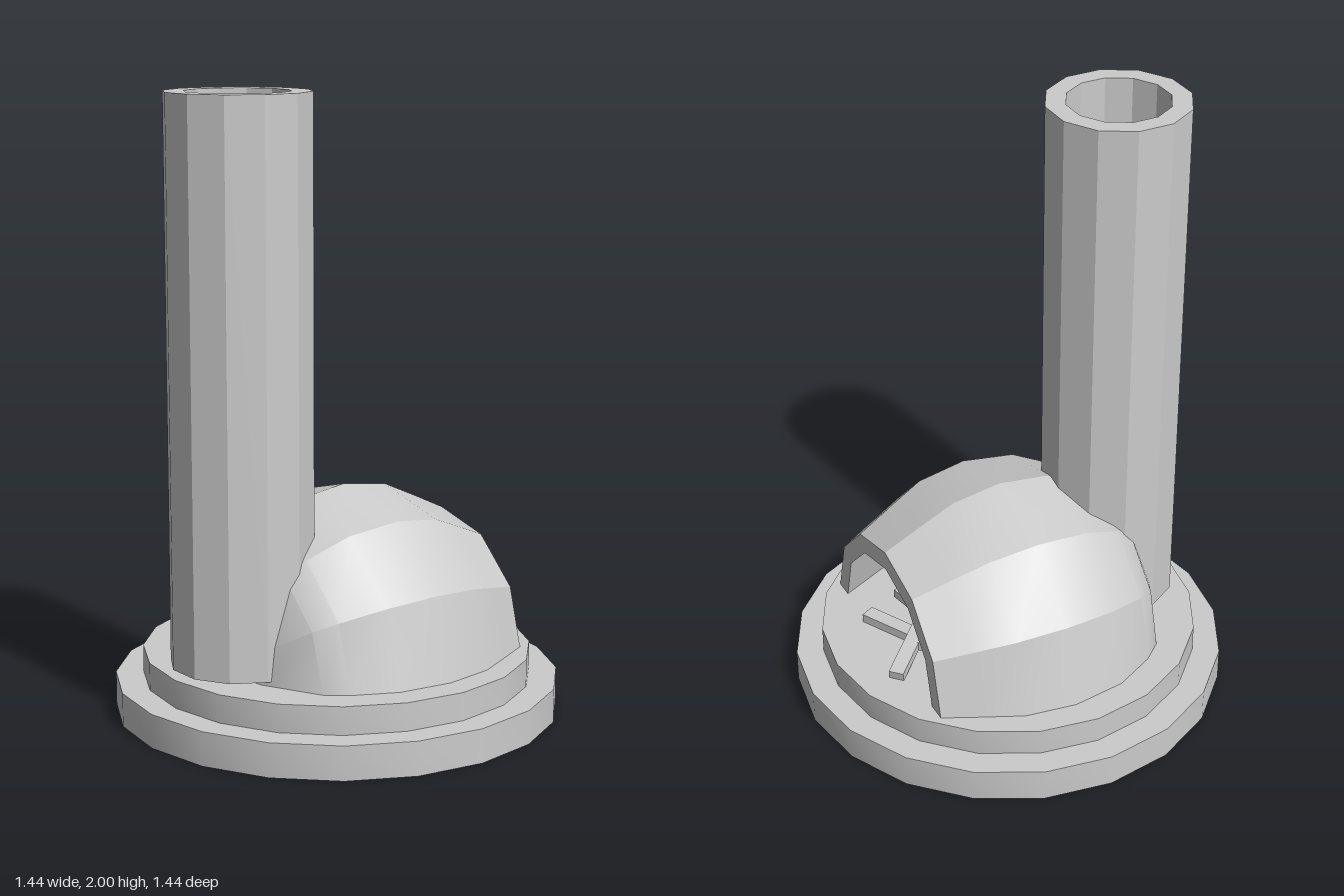
import * as THREE from 'three';
import { toCreasedNormals } from 'three/addons/utils/BufferGeometryUtils.js';

const stone = new THREE.MeshStandardMaterial({ color: 0xcccccc, side: THREE.DoubleSide });

const points = (list) => list.map(([r, y]) => new THREE.Vector2(r, y));

function addMesh(parent, name, geometry) {
  const mesh = new THREE.Mesh(geometry, stone);
  mesh.name = name;
  parent.add(mesh);
  return mesh;
}

export function createModel() {
  const model = new THREE.Group();
  model.name = 'outdoorOven';

  // Stepped round plinth, hollow underneath
  const plinth = new THREE.LatheGeometry(
    points([[0.72, 0], [0.72, 0.11], [0.63, 0.11], [0.63, 0.2], [0, 0.2]]), 20);
  addMesh(model, 'plinth', toCreasedNormals(plinth, 0.6));

  // Dome: half a turn of a thick shell about the z axis, open at the back
  const inner = [[0, 0.41], [0.17, 0.39], [0.33, 0.31], [0.39, 0.25], [0.455, 0.13],
    [0.48, -0.03], [0.455, -0.19], [0.4, -0.31], [0.335, -0.445]];
  const outer = [[0.4, -0.445], [0.455, -0.33], [0.515, -0.2], [0.54, -0.03],
    [0.515, 0.15], [0.445, 0.29], [0.39, 0.355], [0.2, 0.445], [0, 0.47]];
  const dome = new THREE.LatheGeometry(points([...inner, ...outer]), 6, Math.PI / 2, Math.PI);
  dome.rotateX(Math.PI / 2);
  addMesh(model, 'dome', toCreasedNormals(dome, 0.45)).position.y = 0.19;

  // Twelve-sided hollow chimney
  const chimney = new THREE.LatheGeometry(
    points([[0.165, 0.215], [0.23, 0.215], [0.23, 2], [0.165, 2], [0.165, 0.215]]), 12, Math.PI / 12);
  addMesh(model, 'chimney', toCreasedNormals(chimney, 0.4)).position.set(0.005, 0, 0.38);

  // Firewood: square sticks lying between two end points
  const firewood = new THREE.Group();
  firewood.name = 'firewood';
  model.add(firewood);
  const sticks = [
    [[-0.16, 0.215, -0.49], [0.12, 0.28, -0.2]],
    [[0.18, 0.215, -0.44], [-0.18, 0.215, -0.25]],
    [[0.22, 0.24, -0.3], [-0.14, 0.23, -0.22]],
    [[0.12, 0.22, -0.1], [-0.1, 0.24, -0.36]],
  ];
  for (const [a, b] of sticks) {
    const start = new THREE.Vector3(...a);
    const end = new THREE.Vector3(...b);
    const stick = addMesh(firewood, 'stick',
      new THREE.BoxGeometry(0.05, 0.03, start.distanceTo(end)));
    stick.position.copy(start).lerp(end, 0.5);
    stick.lookAt(end);
  }
  return model;
}
